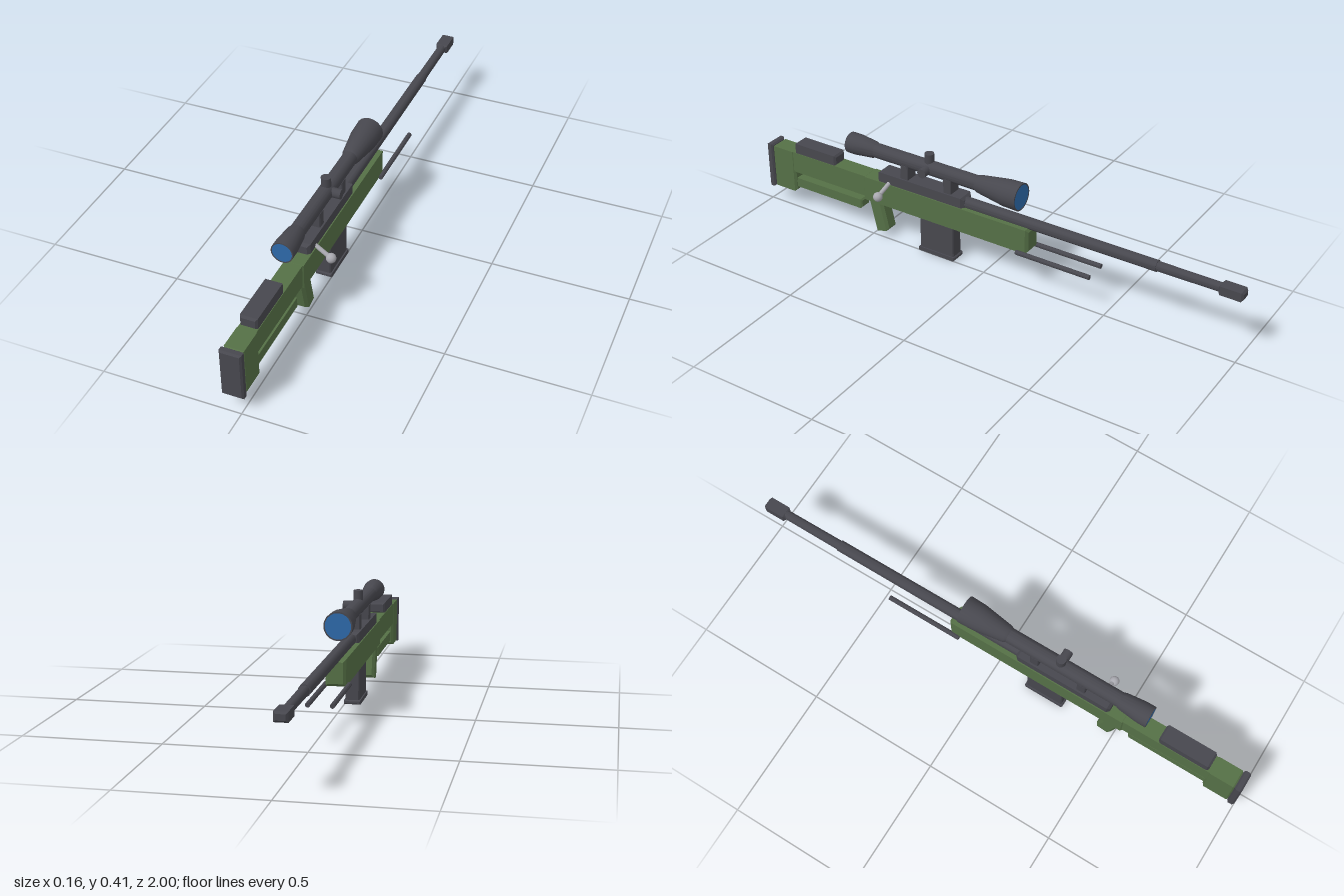
import * as THREE from 'three';
import { toCreasedNormals } from 'three/addons/utils/BufferGeometryUtils.js';

const X = -0.029; // centre line of the rifle; the bolt handle sticks out to +x
const mat = (name, color) => {
  const m = new THREE.MeshStandardMaterial({ color });
  m.name = name;
  return m;
};

export function createModel() {
  const group = new THREE.Group();
  group.name = 'rifle';
  const green = mat('olive green', 0x557046);
  const dark = mat('gunmetal', 0x47474e);
  const blue = mat('lens blue', 0x2d69a9);
  const silver = mat('bolt silver', 0xa9a9b0);

  const add = (name, geo, material, x = 0, y = 0, z = 0) => {
    const m = new THREE.Mesh(geo, material);
    m.name = name;
    m.position.set(x, y, z);
    group.add(m);
    return m;
  };

  // Box with every edge chamfered by c, centred on its origin
  const bevelBox = (w, h, d, c) => {
    const a = w / 2 - c, b = h / 2 - c;
    const s = new THREE.Shape([[-a, -b], [a, -b], [a, b], [-a, b]].map(p => new THREE.Vector2(...p)));
    const g = new THREE.ExtrudeGeometry(s, {
      depth: d - 2 * c, bevelEnabled: true, bevelSize: c, bevelThickness: c, bevelSegments: 1,
    });
    return toCreasedNormals(g.translate(0, 0, -d / 2 + c), 0.3);
  };
  const block = (name, m, w, y0, y1, z0, z1, c = 0.006) =>
    add(name, bevelBox(w, y1 - y0, z1 - z0, c), m, X, (y0 + y1) / 2, (z0 + z1) / 2);

  // Turned part along z from [radius, z] points with z rising
  const turned = (name, m, pts, x, y, sides = 16) => {
    const g = new THREE.LatheGeometry(pts.map(p => new THREE.Vector2(...p)), sides);
    g.rotateX(Math.PI / 2).scale(1, 1, 1);
    return add(name, toCreasedNormals(g, 0.45), m, x, y, 0);
  };

  // Stock
  block('forend', green, 0.074, 0.146, 0.243, -0.188, 0.537, 0.01);
  block('stockBeam', green, 0.066, 0.158, 0.243, 0.52, 0.9, 0.008);
  block('buttBlock', green, 0.07, 0.07, 0.243, 0.868, 0.975, 0.008);
  block('lowerBar', green, 0.05, 0.089, 0.127, 0.555, 0.88, 0.006);
  block('buttPlate', dark, 0.078, 0.063, 0.248, 0.972, 1.0, 0.006);
  block('cheekRest', dark, 0.062, 0.24, 0.283, 0.668, 0.866, 0.007);

  // Raked pistol grip
  const grip = add('pistolGrip', bevelBox(0.06, 0.145, 0.062, 0.01), green, X, 0.095, 0.476);
  grip.rotation.x = 0.23;

  // Receiver, magazine and scope mounts
  block('receiver', dark, 0.066, 0.226, 0.282, 0.088, 0.47, 0.01);
  block('magazine', dark, 0.052, 0.01, 0.16, 0.136, 0.284, 0.004);
  block('magazineBase', dark, 0.062, 0, 0.016, 0.13, 0.29, 0.004);
  for (const z of [0.16, 0.35]) block('scopeMount', dark, 0.053, 0.27, 0.338, z - 0.017, z + 0.017, 0.003);

  // Barrel and muzzle
  turned('barrel', dark, [[0, -0.93], [0.017, -0.93], [0.018, -0.68], [0.021, -0.68], [0.022, 0.1], [0, 0.1]], X, 0.255);
  block('muzzleBrake', dark, 0.046, 0.238, 0.272, -1, -0.91, 0.007);

  // Scope body, lenses and adjustment turrets
  const sy = 0.35;
  turned('scopeBody', dark, [
    [0, -0.136], [0.047, -0.136], [0.047, -0.14], [0.052, -0.14], [0.05, -0.08], [0.033, 0.035], [0.028, 0.045],
    [0.028, 0.49], [0.032, 0.5], [0.04, 0.575], [0.04, 0.61], [0.036, 0.61], [0.036, 0.607], [0, 0.607],
  ], X, sy, 20);
  add('eyepieceLens', new THREE.CircleGeometry(0.036, 24), blue, X, sy, 0.609);
  add('objectiveLens', new THREE.CircleGeometry(0.048, 24), blue, X, sy, -0.1395).rotation.y = Math.PI;
  const turret = () => new THREE.CylinderGeometry(0.018, 0.018, 0.06, 14);
  add('topTurret', turret(), dark, X, 0.379, 0.252);
  add('sideTurret', turret(), dark, -0.003, sy, 0.25).rotation.z = -Math.PI / 2;

  // Bolt handle
  const from = new THREE.Vector3(-0.01, 0.252, 0.415), to = new THREE.Vector3(0.062, 0.215, 0.425);
  add('boltHandle', new THREE.TubeGeometry(new THREE.LineCurve3(from, to), 1, 0.008, 10), silver);
  add('boltKnob', new THREE.SphereGeometry(0.018, 16, 12), silver, to.x, to.y, to.z);

  // Folded bipod legs
  for (const side of [-1, 1])
    turned('bipodLeg', dark, [[0, -0.445], [0.009, -0.445], [0.009, -0.145], [0, -0.145]], X + side * 0.042, 0.146, 10);

  return group;
}
